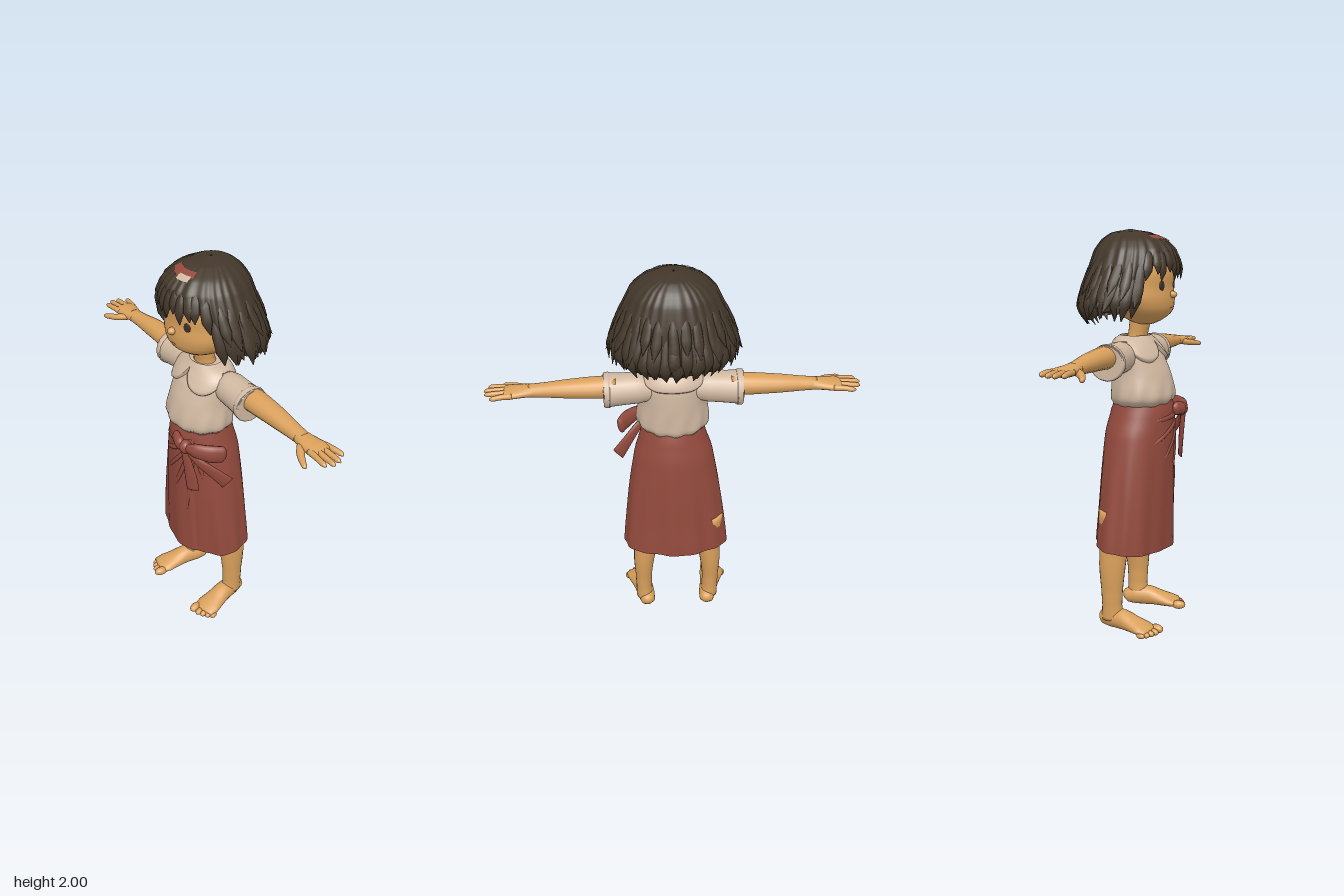
import * as THREE from 'three';

const V = (x, y, z) => new THREE.Vector3(x, y, z);
const lerp = THREE.MathUtils.lerp, step = THREE.MathUtils.smoothstep;
const { sin, cos, abs, PI, min } = Math;

const mat = (name, color, side = THREE.FrontSide) => {
  const m = new THREE.MeshStandardMaterial({ color, side });
  m.name = name;
  return m;
};

// Skin a list of point rows; closed rows wrap round, caps close both ends.
function loft(rows, closed = true, caps = true) {
  const n = rows[0].length, pos = [], idx = [];
  rows.flat().forEach(p => pos.push(p.x, p.y, p.z));
  for (let i = 0; i < rows.length - 1; i++)
    for (let j = 0; j < (closed ? n : n - 1); j++) {
      const k = (j + 1) % n, a = i * n + j, b = i * n + k;
      idx.push(a, b, a + n, b, b + n, a + n);
    }
  if (closed && caps) [0, rows.length - 1].forEach(i => {
    const c = rows[i].reduce((s, p) => s.add(p), V(0, 0, 0)).divideScalar(n);
    const id = pos.length / 3;
    pos.push(c.x, c.y, c.z);
    for (let j = 0; j < n; j++) {
      const a = i * n + j, b = i * n + (j + 1) % n;
      idx.push(...(i ? [a, b, id] : [b, a, id]));
    }
  });
  // turn the faces outward if the enclosed volume comes out negative
  const at = i => V(pos[3 * i], pos[3 * i + 1], pos[3 * i + 2]).sub(rows[0][0]);
  let vol = 0;
  for (let i = 0; i < idx.length; i += 3) vol += at(idx[i]).dot(at(idx[i + 1]).cross(at(idx[i + 2])));
  if (vol < 0) idx.reverse();
  const g = new THREE.BufferGeometry();
  g.setAttribute('position', new THREE.Float32BufferAttribute(pos, 3));
  g.setIndex(idx);
  g.computeVertexNormals();
  return g;
}

// Elliptical tube through [x, y, z, radiusA, radiusB]; "out" is the direction of radiusB.
function tube(pts, out = V(0, 0, 1), sides = 14, sub = 5) {
  const curve = new THREE.CatmullRomCurve3(pts.map(p => V(p[0], p[1], p[2])));
  const steps = (pts.length - 1) * sub, rows = [];
  for (let i = 0; i <= steps; i++) {
    const t = i / steps, k = min(Math.floor(i / sub), pts.length - 2), f = i / sub - k;
    const T = curve.getTangent(t), A = T.clone().cross(out).normalize(), B = A.clone().cross(T);
    const ra = lerp(pts[k][3], pts[k + 1][3], f), rb = lerp(pts[k][4], pts[k + 1][4], f);
    const c = curve.getPoint(t);
    rows.push(Array.from({ length: sides }, (_, j) => {
      const a = j / sides * 2 * PI;
      return c.clone().addScaledVector(A, ra * cos(a)).addScaledVector(B, rb * sin(a));
    }));
  }
  return loft(rows);
}

// Body surface from rows [y, half width, front z, back z, centre x]; angle 0 is the front.
const body = table => (a, y, off = 0) => {
  let i = 0;
  while (i < table.length - 2 && y < table[i + 1][0]) i++;
  const f = THREE.MathUtils.clamp((table[i][0] - y) / (table[i][0] - table[i + 1][0]), 0, 1);
  const r = k => {
    const q = d => table[THREE.MathUtils.clamp(i + d, 0, table.length - 1)][k] || 0;
    const m0 = (q(1) - q(-1)) / 2, m1 = (q(2) - q(0)) / 2, f2 = f * f, f3 = f2 * f;
    return q(0) * (2 * f3 - 3 * f2 + 1) + m0 * (f3 - 2 * f2 + f) + q(1) * (3 * f2 - 2 * f3) + m1 * (f3 - f2);
  };
  return V(r(4) + (r(1) + off) * sin(a), y, (r(2) + r(3)) / 2 + ((r(2) - r(3)) / 2 + off) * cos(a));
};
const rowsOf = (nv, nu, fn) => Array.from({ length: nv + 1 }, (_, i) =>
  Array.from({ length: nu }, (_, j) => fn(-PI + j / nu * 2 * PI, i / nv)));
const patch = (nv, nu, fn) => Array.from({ length: nv + 1 }, (_, i) =>
  Array.from({ length: nu + 1 }, (_, j) => fn(j / nu, i / nv)));

const headAt = body([[1.95, .05, .08, -.02], [1.9, .14, .15, -.1], [1.8, .195, .2, -.15], [1.72, .203, .203, -.15],
  [1.66, .198, .21, -.13], [1.6, .16, .2, -.08], [1.56, .1, .155, -.02], [1.54, .05, .11, .03]]);
const hairAt = body([[2, .005, -.005, -.015], [1.985, .085, .085, -.1], [1.95, .155, .165, -.15], [1.9, .205, .215, -.185],
  [1.8, .25, .235, -.215], [1.7, .275, .225, -.235], [1.62, .292, .2, -.25], [1.55, .25, .15, -.21], [1.5, .2, .1, -.17]]);
const shirtAt = body([[1.475, .07, .08, -.045], [1.455, .125, .095, -.07], [1.42, .162, .125, -.088], [1.38, .17, .155, -.096],
  [1.3, .17, .192, -.1], [1.2, .183, .215, -.1], [1.165, .178, .21, -.098], [1.14, .155, .19, -.085]]);
const skirtAt = body([[1.16, .15, .188, -.085], [1.12, .162, .2, -.1], [1, .2, .2, -.128, -.003], [.8, .236, .198, -.145, -.006],
  [.6, .262, .195, -.156, -.01], [.4, .28, .192, -.168, -.012]]);

export function createModel() {
  const model = new THREE.Group();
  model.name = 'girl';
  const skin = mat('skin', 0xd9a05c), eyeDark = mat('eye', 0x3a2e26), lip = mat('lip', 0xb5793f);
  const hair = mat('hair', 0x43372a, THREE.DoubleSide);
  const cloth = mat('blouse cream', 0xd0b8a1, THREE.DoubleSide);
  const red = mat('skirt red', 0x934a3d, THREE.DoubleSide);
  const add = (name, geo, m, parent = model) => {
    const mesh = new THREE.Mesh(geo, m);
    mesh.name = name;
    parent.add(mesh);
    return mesh;
  };
  const ball = (name, m, p, s, parent = model) => {
    const b = add(name, new THREE.SphereGeometry(1, 20, 14), m, parent);
    b.position.set(...p);
    b.scale.set(...s);
    return b;
  };

  // Head, face and neck
  add('head', loft(rowsOf(24, 40, (a, v) => headAt(a, lerp(1.95, 1.54, v)))), skin);
  add('neck', tube([[0, 1.42, .02, .07, .06], [0, 1.49, .03, .057, .048], [0, 1.6, .05, .06, .055]]), skin);
  ball('nose', skin, [0, 1.685, .21], [.02, .018, .024]);
  ball('mouth', lip, [0, 1.622, .204], [.022, .003, .004]);
  for (const s of [-1, 1]) {
    const eye = ball('eye', eyeDark, [s * .087, 1.73, .186], [.018, .023, .005]);
    eye.rotation.y = s * .42;
    const ear = ball('ear', skin, [s * .205, 1.672, .045], [.018, .055, .036]);
    ear.rotation.set(0, s * -.5, s * -.2);
    ball('earLobe', skin, [s * .196, 1.635, .05], [.014, .022, .02]);
  }

  // Hair cap with a high fringe, longer sides and back
  const hairEdge = a => lerp(lerp(1.825, 1.63, step(abs(a), .85, 1.15)), 1.565, step(abs(a), 1.2, 2.2));
  add('hairCap', loft(rowsOf(30, 180, (a, v) => {
    const y = lerp(2, hairEdge(a), Math.pow(v, 1.8));
    return hairAt(a, y, .006 * v * sin(a * 26 + 2 * sin(a * 5)));
  }), true, false), hair);
  add('hairUnderside', loft(rowsOf(4, 60, (a, v) => hairAt(a, hairEdge(a) + .01 + .03 * v, -.005 - .075 * v)), true, false), hair);
  const lock = (name, a, y0, y1, w, flick) => {
    const out = V(sin(a), 0, cos(a)), row = (t, k, off) => {
      const p = hairAt(a + .05 * sin(a * 17) * t, lerp(y0, y1, t), off);
      return [p.x, p.y, p.z, w * k, w * k * .45];
    };
    add(name, tube([row(0, .2, -.012), row(.35, .9, -.004), row(.7, 1, .001 + flick * .3), row(1, .08, flick)], out, 8, 4), hair);
  };
  for (let i = 0; i < 11; i++) {
    const a = -.86 + i * .172;
    lock('fringeLock', a, 1.93, 1.775 + .022 * sin(i * 2.4) - .02 * step(abs(a), .6, .9), .025, .002);
  }
  for (let i = 0; i < 36; i++) {
    const a = 1.05 + i / 35 * (2 * PI - 2.1), sideways = abs(sin(a));
    const tip = lerp(1.545, 1.59, sideways ** 3) + .02 * sin(i * 2.7);
    lock('lowerLock', a, tip + .27, tip, .03, .012 + .03 * sideways ** 4 * (.5 + .5 * sin(i * 1.9)));
    if (i % 2) lock('upperLock', a, 1.88, 1.66 + .035 * sin(i * 2.1), .026, .016 + .012 * sideways);
  }
  // Small coloured patches above the fringe
  add('redHairPatch', loft(patch(4, 12, (u, v) => hairAt(lerp(-.6, .5, u), lerp(1.972, 1.95 + .012 * abs(u - .5), v), .007)), false), red);
  add('creamHairPatch', loft(patch(4, 8, (u, v) => hairAt(lerp(-.02, .42, u), lerp(1.96, 1.942, v), .009)), false), cloth);

  // Blouse with soft wrinkles, and the two-flap collar
  add('blouse', loft(rowsOf(28, 64, (a, v) => shirtAt(a, lerp(1.475, 1.14, v),
    .004 * step(v, .5, .9) * sin(a * 11 + 4 * v)))), cloth);
  const collarEdge = a => abs(a) < 1.4 ? 1.448 - .09 * Math.pow(sin(PI * abs(a) / 1.4), .6)
    : lerp(1.448, 1.4, step(abs(a), 1.7, 2.7));
  add('collar', loft(rowsOf(10, 96, (a, v) => {
    const t = min(1, v / .9), p = shirtAt(a, lerp(1.473, collarEdge(a), t), v > .95 ? 0 : .013);
    p.y += v > .95 ? 0 : .011;
    return p;
  }), true, false), cloth);

  // Sleeves, arms and hands
  for (const s of [-1, 1]) {
    const arm = new THREE.Group();
    arm.name = s > 0 ? 'leftArm' : 'rightArm';
    model.add(arm);
    const limb = (name, pts, m = skin, out) =>
      add(name, tube(pts.map(p => [s * p[0], ...p.slice(1)]), out, 16), m, arm);
    limb('sleeve', [[.07, 1.385, 0, .055, .06], [.17, 1.386, 0, .078, .08], [.26, 1.38, 0, .08, .083],
      [.325, 1.376, 0, .085, .087], [.338, 1.375, 0, .08, .082], [.325, 1.376, 0, .06, .062]], cloth);
    limb('sleeveHem', [[.308, 1.377, 0, .083, .085], [.314, 1.377, 0, .089, .091], [.334, 1.375, 0, .088, .09], [.34, 1.375, 0, .078, .08]], cloth);
    limb('arm', [[.28, 1.4, -.01, .058, .062], [.4, 1.4, -.012, .052, .06], [.52, 1.397, -.012, .045, .052],
      [.62, 1.393, -.01, .036, .042], [.7, 1.39, -.008, .03, .038]]);
    limb('palm', [[.67, 1.391, -.008, .031, .038], [.72, 1.39, -.008, .027, .048], [.78, 1.388, -.012, .024, .059],
      [.815, 1.387, -.012, .018, .057], [.825, 1.387, -.012, .008, .045]]);
    [[-.056, -.072, .885], [-.027, -.03, .913], [.003, .005, .918], [.031, .04, .9]].forEach(([z0, z1, x]) =>
      limb('finger', [[.78, 1.388, z0, .015, .015], [.83, 1.39, lerp(z0, z1, .5), .014, .014],
        [x - .015, 1.386, z1, .012, .012], [x, 1.384, z1, .004, .004]]));
    limb('thumb', [[.71, 1.385, .015, .017, .02], [.755, 1.375, .058, .017, .019], [.805, 1.367, .086, .014, .014],
      [.825, 1.364, .094, .012, .012], [.837, 1.363, .098, .004, .004]]);
  }

  // Wrap skirt with a stepped overlap edge and soft pleats
  const skirtOff = (a, y) => {
    const d = step(1.16 - y, 0, .7);
    return .016 * step(a, -1, .42) * (a < .46 ? 1 : 0) + d * (.005 * sin(a * 6 + 2 * y) + .003 * sin(a * 13));
  };
  const skirtHem = a => .418 - .018 * cos(a);
  add('skirt', loft(rowsOf(30, 140, (a, v) => {
    const y = lerp(1.16, skirtHem(a), v);
    return skirtAt(a, y, skirtOff(a, y));
  }), true, false), red);
  add('skirtLining', loft(rowsOf(6, 70, (a, v) => skirtAt(a, skirtHem(a) + .5 * v, -.012 * step(v, 0, .1) + skirtOff(a, skirtHem(a)) * (1 - v))), true, false), red);
  // Drapes fanning out from the knot
  [[-.95, 1.06], [-.85, .93], [-.55, .8], [-.15, .7], [.3, .62], [.85, .85]].forEach(([a1, y1]) => {
    const pts = [0, .33, .66, 1].map(t => {
      const a = lerp(.6, a1, t), y = lerp(1.1, y1, t), p = skirtAt(a, y, skirtOff(a, y) - .003);
      const w = [.012, .015, .012, .003][Math.round(t * 3)];
      return [p.x, p.y, p.z, w, w * .6];
    });
    add('skirtFold', tube(pts, V(sin(a1), 0, cos(a1)), 8), red);
  });

  // Bow: knot, two loops, two tails
  const bow = new THREE.Group();
  bow.name = 'bow';
  model.add(bow);
  ball('bowKnot', red, [.115, 1.102, .225], [.033, .036, .032], bow);
  const bowPart = (name, pts) => add(name, tube(pts, V(.5, 0, .87), 12), red, bow);
  bowPart('outerLoop', [[.12, 1.1, .23, .018, .016], [.175, 1.108, .212, .038, .024], [.235, 1.1, .16, .05, .026],
    [.265, 1.095, .11, .048, .02], [.272, 1.093, .095, .025, .008]]);
  bowPart('innerLoop', [[.115, 1.1, .235, .018, .016], [.08, 1.11, .235, .033, .024], [.03, 1.115, .222, .034, .02], [.012, 1.115, .214, .015, .008]]);
  bowPart('outerTail', [[.12, 1.09, .225, .014, .012], [.18, 1.03, .19, .026, .012], [.24, .97, .135, .038, .01], [.285, .925, .095, .046, .008]]);
  bowPart('hangingTail', [[.115, 1.09, .235, .016, .012], [.13, 1, .222, .026, .012], [.142, .92, .213, .034, .01], [.15, .85, .208, .034, .008]]);

  // Legs and bare feet, turned slightly outward
  for (const s of [-1, 1]) {
    const leg = new THREE.Group();
    leg.name = s > 0 ? 'leftLeg' : 'rightLeg';
    leg.position.x = -.018 + s * .18;
    model.add(leg);
    add('shin', tube([[-s * .015, .62, -.02, .08, .085], [-s * .01, .42, -.028, .064, .074], [0, .32, -.032, .056, .068],
      [s * .004, .2, -.032, .045, .056], [s * .003, .12, -.032, .043, .052], [0, .05, -.03, .046, .058]], V(0, 0, 1), 20), skin, leg);
    const foot = new THREE.Group();
    foot.name = 'foot';
    foot.rotation.y = s * .2;
    leg.add(foot);
    add('sole', tube([[0, .036, -.104, .015, .015], [0, .042, -.09, .036, .036], [0, .05, -.04, .047, .05], [0, .052, .03, .05, .052],
      [0, .041, .09, .058, .04], [0, .031, .145, .068, .03], [0, .024, .185, .062, .02], [0, .02, .195, .04, .01]], V(0, 1, 0), 20), skin, foot);
    [[-.047, .2, .023], [-.013, .204, .017], [.014, .197, .016], [.039, .187, .015], [.06, .172, .014]].forEach(([x, z, r]) =>
      ball('toe', skin, [s * x, r + .001, z], [r, r, r * 1.6], foot));
  }
  return model;
}
